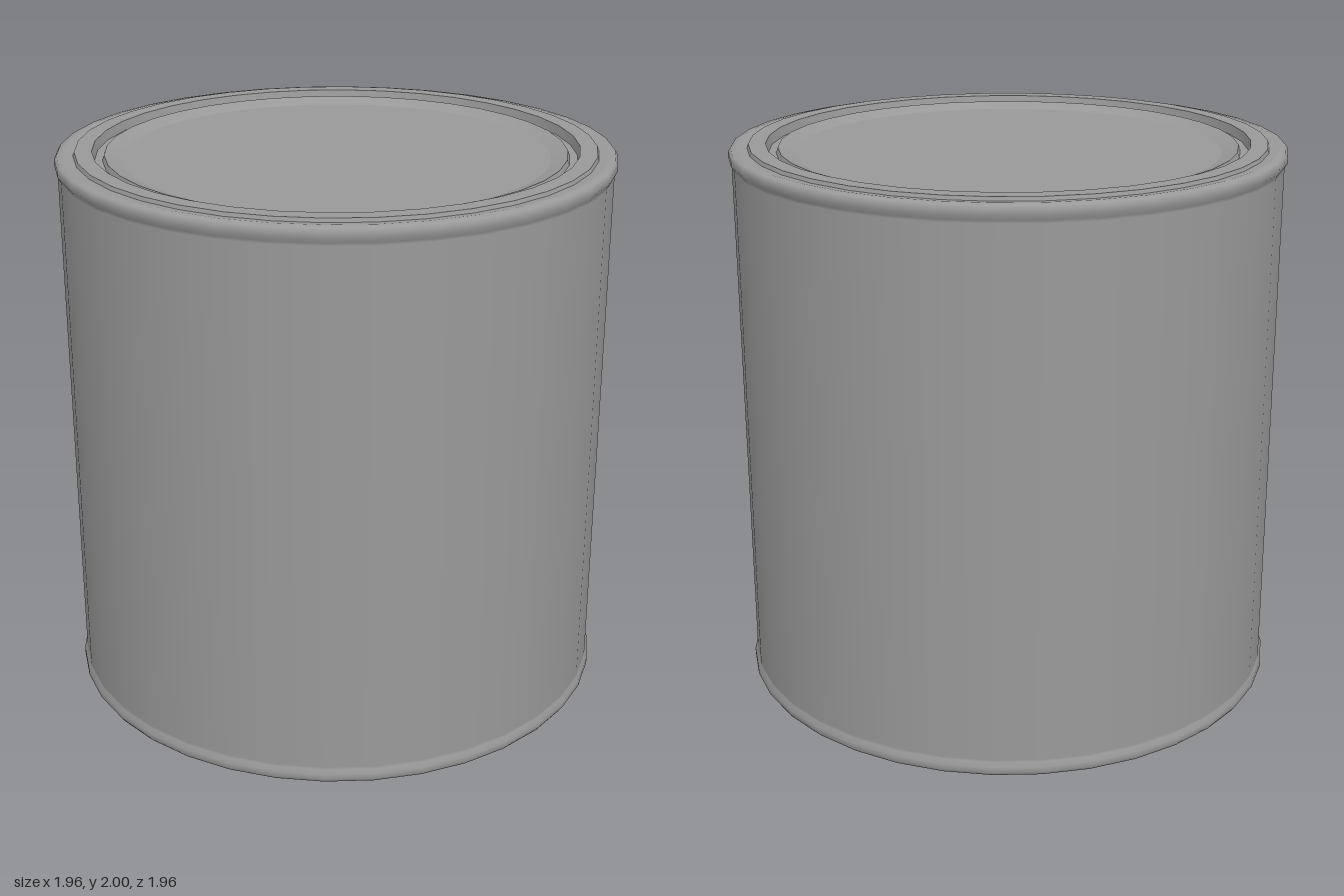
import * as THREE from 'three';
import { toCreasedNormals } from 'three/addons/utils/BufferGeometryUtils.js';

const SIDES = 36;
const HEIGHT = 2;

export function createModel() {
  const can = new THREE.Group();
  can.name = 'tinCan';
  const material = new THREE.MeshStandardMaterial({ color: 0x999999, side: THREE.DoubleSide });

  // Revolves a profile of [radius, height] points, listed from bottom or outside
  const revolve = (name, points, parent, creased) => {
    const profile = points.map(([r, y]) => new THREE.Vector2(r, y));
    const lathe = new THREE.LatheGeometry(profile, SIDES);
    const mesh = new THREE.Mesh(creased ? toCreasedNormals(lathe, 0.7) : lathe, material);
    mesh.name = name;
    parent.add(mesh);
  };

  // Side wall that runs smoothly into a rolled seam at each end
  const seam = [[0.97, 1.93], [0.971, 1.94], [0.98, 1.955], [0.98, 1.975], [0.972, 1.987], [0.95, 1.991]];
  const lowerSeam = seam.map(([r, y]) => [r, HEIGHT - y]).reverse();
  revolve('wall', [...lowerSeam, ...seam], can, false);

  // Both ends share the same stepped ring and flat recessed panel
  for (const end of ['top', 'bottom']) {
    const group = new THREE.Group();
    group.name = end + 'End';
    revolve(end + 'Ring', [
      [0.95, 1.991], [0.915, 1.987], [0.91, 2], [0.85, 2], [0.842, 1.967],
      [0.815, 1.967], [0.808, 1.985], [0.75, 1.965],
    ], group, true);
    revolve(end + 'Panel', [[0.75, 1.965], [0, 1.965]], group, false);
    // Half turn puts the second copy underneath
    if (end === 'bottom') {
      group.rotation.x = Math.PI;
      group.position.y = HEIGHT;
    }
    can.add(group);
  }
  return can;
}
